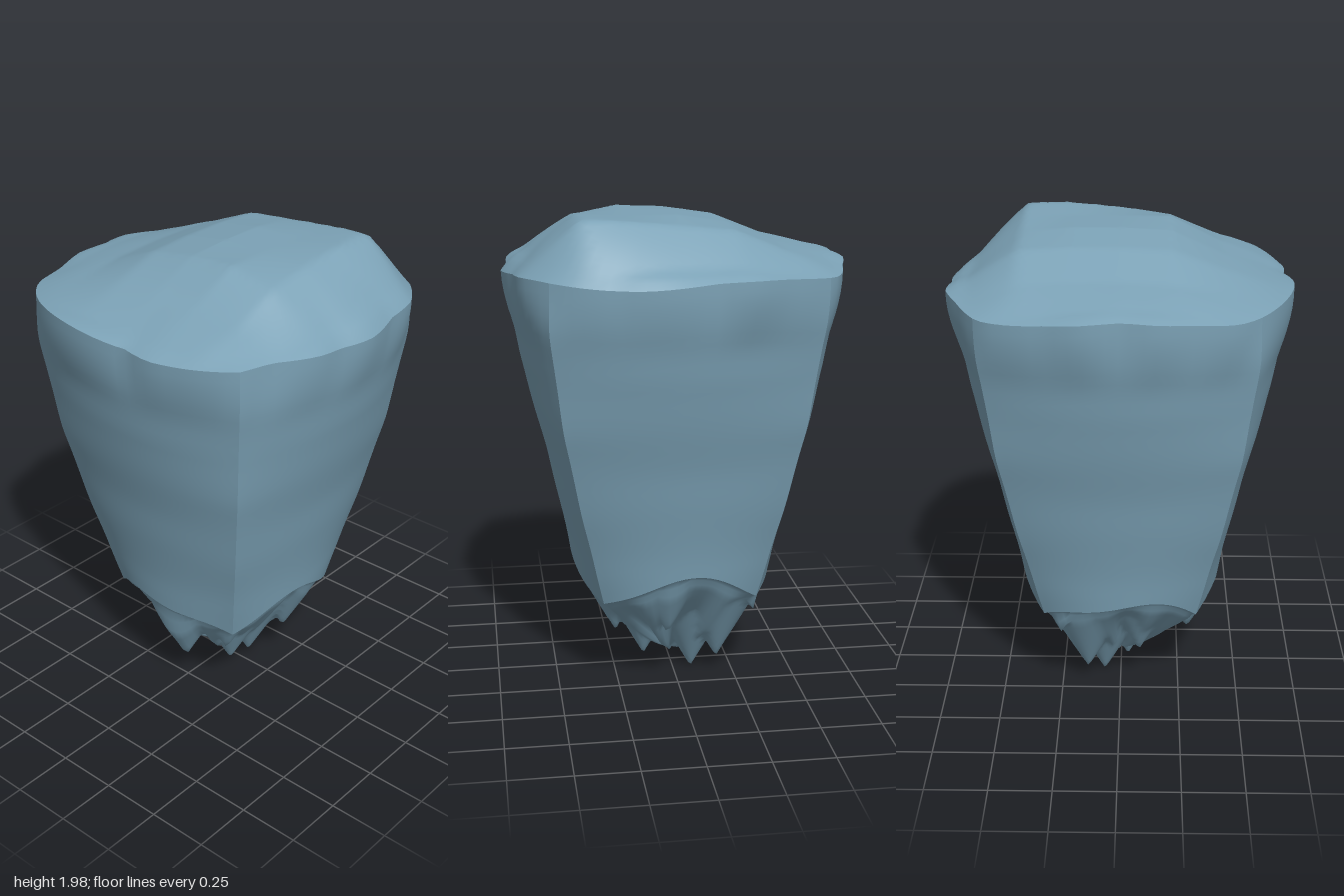
import * as THREE from 'three';
import { mergeVertices } from 'three/addons/utils/BufferGeometryUtils.js';

// Rim outline as x, z pairs
const RIM = [
  .68, .04, .64, .27, .59, .43, .53, .52, .38, .63, .22, .65, .05, .69, -.11, .66, -.22, .66, -.3, .64,
  -.42, .58, -.55, .54, -.65, .3, -.67, .22, -.66, .09, -.685, -.09, -.67, -.23, -.59, -.44, -.52, -.54,
  -.44, -.61, -.29, -.64, -.14, -.685, -.01, -.67, .14, -.69, .28, -.65, .5, -.58, .54, -.54, .62, -.38,
  .68, -.23, .67, -.09,
];
// Body profile: y, distance to the middle of a side, half width at the corner edge
const BODY = [
  [.3, .385, .295], [.42, .41, .32], [.6, .437, .36], [.78, .473, .4], [1, .522, .445],
  [1.16, .562, .475], [1.4, .622, .508], [1.6, .652, .53], [1.8, .675, .547],
];
// Top heights every 0.2, rows from back to front, columns from -x to +x
const TOP = [
  [1.79, 1.80, 1.82, 1.83, 1.82, 1.80, 1.78],
  [1.80, 1.83, 1.86, 1.87, 1.87, 1.86, 1.80],
  [1.81, 1.87, 1.94, 1.95, 1.95, 1.94, 1.83],
  [1.81, 1.88, 1.97, 1.98, 1.98, 1.96, 1.83],
  [1.82, 1.88, 1.98, 1.98, 1.98, 1.98, 1.85],
  [1.82, 1.86, 1.94, 1.97, 1.99, 2.00, 1.86],
  [1.78, 1.81, 1.83, 1.85, 1.86, 1.86, 1.79],
];
// Hanging points: x, tip height, z
const TIPS = [
  [-.29, .15, .03], [-.08, .05, .1], [-.03, .03, 0], [.07, 0, -.08], [.14, .07, -.18], [.02, .05, .12],
  [.28, .25, .05], [.1, .2, .25], [-.22, .23, .2], [.25, .31, -.32], [-.08, .17, -.2],
];

const lerp = THREE.MathUtils.lerp, smooth = THREE.MathUtils.smoothstep;

const rimPoints = [];
for (let i = 0; i < RIM.length; i += 2) {
  rimPoints.push([Math.atan2(RIM[i + 1], RIM[i]), Math.hypot(RIM[i], RIM[i + 1])]);
}
rimPoints.sort((a, b) => a[0] - b[0]);

function rimRadius(angle) {
  const n = rimPoints.length, turn = Math.PI * 2;
  let k = rimPoints.findIndex((p) => p[0] > angle);
  if (k < 0) k = n;
  const [a0, r0] = k > 0 ? rimPoints[k - 1] : [rimPoints[n - 1][0] - turn, rimPoints[n - 1][1]];
  const [a1, r1] = k < n ? rimPoints[k] : [rimPoints[0][0] + turn, rimPoints[0][1]];
  return lerp(r0, r1, (angle - a0) / (a1 - a0));
}

function bodyAt(y) {
  let k = 1;
  while (k < BODY.length - 1 && BODY[k][0] < y) k++;
  const [y0, m0, c0] = BODY[k - 1], [y1, m1, c1] = BODY[k];
  const t = (y - y0) / (y1 - y0);
  return [lerp(m0, m1, t), lerp(c0, c1, t)];
}

// Point on the bulging square section; s runs 0..4 around the four sides
function section(s, y, side = Math.min(3, Math.floor(s))) {
  const u = (s - side) * 2 - 1;
  const [m, c] = bodyAt(y);
  let x = c * u, z = m - (m - c) * u * u;
  for (let i = 0; i < side; i++) [x, z] = [z, -x];
  const t = smooth(y, 1.5, 1.77);
  const k = lerp(1, rimRadius(Math.atan2(z, x)) / Math.hypot(x, z), t);
  return [x * k, z * k];
}

const wave = (s, a, b) => Math.sin(s * Math.PI * a + b);
const rimY = (s) => 1.775 + .012 * wave(s, 2.5, .8) + .012 * wave(s, .5, 3.6);
// Scalloped lower edge, lowest at the corners
function edgeY(s) {
  const u = (s % 1) * 2 - 1;
  return .41 + (1 - u * u) * (.1 + .04 * wave(s, 1.54, -.12));
}

function topHeight(x, z) {
  const gx = THREE.MathUtils.clamp((x + .6) / .2, 0, 5.999);
  const gz = THREE.MathUtils.clamp((z + .6) / .2, 0, 5.999);
  const i = Math.floor(gx), j = Math.floor(gz), tx = gx - i, tz = gz - j;
  return lerp(lerp(TOP[j][i], TOP[j][i + 1], tx), lerp(TOP[j + 1][i], TOP[j + 1][i + 1], tx), tz);
}

// Smooth surface over a grid of points, u to the right and v up as seen from outside
function grid(nu, nv, point) {
  const positions = [], index = [];
  for (let j = 0; j <= nv; j++) {
    for (let i = 0; i <= nu; i++) positions.push(...point(i / nu, j / nv));
  }
  for (let j = 0; j < nv; j++) {
    for (let i = 0; i < nu; i++) {
      const a = j * (nu + 1) + i, b = a + 1, c = a + nu + 1, d = c + 1;
      index.push(a, b, d, a, d, c);
    }
  }
  let g = new THREE.BufferGeometry();
  g.setAttribute('position', new THREE.Float32BufferAttribute(positions, 3));
  g.setIndex(index);
  g = mergeVertices(g, 1e-5);
  g.computeVertexNormals();
  return g;
}

export function createModel() {
  const model = new THREE.Group();
  model.name = 'rockPillar';
  const stone = new THREE.MeshStandardMaterial({ color: 0x7ca2b6 });
  stone.name = 'blueGreyStone';
  const add = (name, geometry) => {
    const mesh = new THREE.Mesh(geometry, stone);
    mesh.name = name;
    model.add(mesh);
  };

  // Four tapering walls, separate so the corner edges stay sharp
  ['frontWall', 'rightWall', 'backWall', 'leftWall'].forEach((name, side) => {
    add(name, grid(24, 32, (u, v) => {
      const s = side + u, y = lerp(edgeY(s), rimY(s), v);
      const [x, z] = section(s, y, side);
      const ripple = 1 + .003 * Math.sin(y * 17) * smooth(v, 0, .15) * (1 - smooth(v, .8, 1));
      return [x * ripple, y, z * ripple];
    }));
  });

  // Uneven domed top
  add('top', grid(96, 30, (u, v) => {
    const s = u * 4, r = 1 - v, y = rimY(s);
    const [rx, rz] = section(s, y);
    const x = rx * r, z = rz * r;
    return [x, lerp(topHeight(x, z), y, r ** 10), z];
  }));

  // Fluted, tapering underside with small jagged points
  add('underside', grid(96, 36, (u, v) => {
    const s = u * 4, edge = edgeY(s);
    const [ex, ez] = section(s, edge);
    const x = ex * v, z = ez * v;
    const folds = .03 * wave(s, 4, .5 + v) + .02 * wave(s, 7, 2);
    let y = lerp(.07, edge, v ** 1.25) + folds * Math.sin(v * Math.PI);
    for (const [tx, ty, tz] of TIPS) {
      y = Math.min(y, ty + 1.8 * Math.hypot(x - tx, z - tz));
    }
    return [x, Math.max(0, lerp(y, edge, smooth(v, .9, 1))), z];
  }));

  return model;
}
